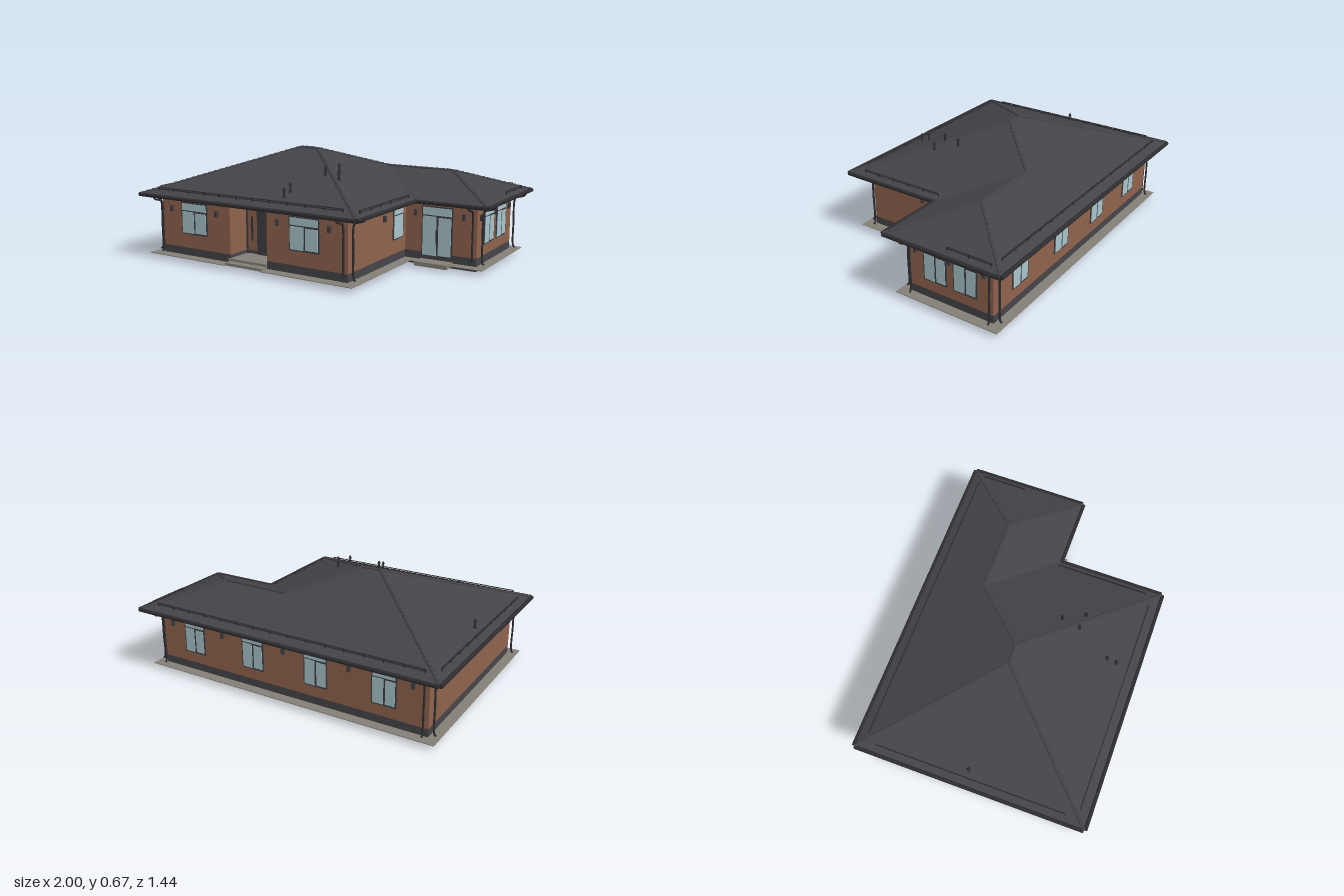
import * as THREE from 'three';

const mat = (name, color) => Object.assign(new THREE.MeshStandardMaterial({ color }), { name });
const M = {
  brick: mat('brick', 0x8f634c),
  plinth: mat('plinth charcoal', 0x454449),
  roof: mat('roof tiles', 0x444348),
  trim: mat('dark trim', 0x2e2d31),
  frame: mat('window frame', 0x3f3e43),
  glass: mat('glass', 0xa8c6cc),
  concrete: mat('concrete', 0x858076),
  floor: mat('floor underside', 0xc8bba3),
};

// Eave lines, eave height and roof pitch
const L = -0.98, R = 0.98, B = -0.705, F = 0.70, MX = 0.54, NZ = 0.035, EAVE = 0.40, PITCH = 0.367;
const H1 = (F - B) / 2, H2 = (NZ - B) / 2;

export function createModel() {
  const root = new THREE.Group();
  root.name = 'house';

  const add = (name, geo, m, parent = root) => {
    const mesh = new THREE.Mesh(geo, m);
    mesh.name = name;
    parent.add(mesh);
    return mesh;
  };
  const box = (name, x0, x1, y0, y1, z0, z1, m, parent) =>
    add(name, new THREE.BoxGeometry(x1 - x0, y1 - y0, z1 - z0), m, parent)
      .position.set((x0 + x1) / 2, (y0 + y1) / 2, (z0 + z1) / 2);
  // Flat slab from a plan outline of [x, z] points
  const slab = (name, pts, y0, y1, m) => {
    const shape = new THREE.Shape(pts.map(([x, z]) => new THREE.Vector2(x, -z)));
    const geo = new THREE.ExtrudeGeometry(shape, { depth: y1 - y0, bevelEnabled: false });
    add(name, geo.rotateX(-Math.PI / 2).translate(0, y0, 0), m);
  };
  // Round rod between two points
  const rod = (name, a, b, r0, r1, m, sides = 8) => {
    const d = b.clone().sub(a);
    const mesh = add(name, new THREE.CylinderGeometry(r1, r0, d.length(), sides), m);
    mesh.position.copy(a).add(b).multiplyScalar(0.5);
    mesh.quaternion.setFromUnitVectors(new THREE.Vector3(0, 1, 0), d.normalize());
  };
  const v = (x, y, z) => new THREE.Vector3(x, y, z);
  // Group on a wall: local +z points out of the wall, u is the world position along it
  const onWall = (name, side, u, d) => {
    const g = new THREE.Group();
    g.name = name;
    const [rot, x, z] = { front: [0, u, d], back: [Math.PI, u, -d], right: [Math.PI / 2, d, u], left: [-Math.PI / 2, -d, u] }[side];
    g.rotation.y = rot;
    g.position.set(x, 0, z);
    root.add(g);
    return g;
  };

  // Walls, plinth and ground slabs
  const base = [[-0.89, -0.605], [0.89, -0.605], [0.89, -0.06], [0.435, -0.06], [0.435, 0.605]];
  const plan = [...base, [-0.10, 0.605], [-0.10, 0.45], [-0.365, 0.45], [-0.365, 0.605], [-0.89, 0.605]];
  const apron = [[-0.95, -0.665], [0.95, -0.665], [0.95, 0], [0.5, 0], [0.5, 0.67],
    [-0.10, 0.67], [-0.10, 0.6], [-0.365, 0.6], [-0.365, 0.67], [-0.95, 0.67]];
  slab('walls', plan, 0.078, 0.386, M.brick);
  slab('plinth', plan, 0.03, 0.078, M.plinth);
  slab('apron', apron, 0.027, 0.031, M.concrete);
  slab('floor', [...base, [-0.89, 0.605]], 0.022, 0.027, M.floor);
  box('wingFoundation', 0.45, 0.889, 0, 0.06, -0.604, -0.061, M.plinth);
  box('porchStep', -0.365, -0.10, 0.027, 0.043, 0.45, 0.66, M.concrete);
  box('porch', -0.375, -0.10, 0.04, 0.058, 0.44, 0.615, M.concrete);
  box('terraceStep', 0.54, 0.745, 0.012, 0.037, -0.07, 0.03, M.concrete);

  // Hipped roof with an L-shaped plan
  const yr = EAVE + H1 * PITCH, yw = EAVE + H2 * PITCH, zr = (F + B) / 2, zw = (NZ + B) / 2;
  const a = v(L, EAVE, B), b = v(R, EAVE, B), c = v(R, EAVE, NZ), d = v(MX, EAVE, NZ), e = v(MX, EAVE, F), f = v(L, EAVE, F);
  const p = v(L + H1, yr, zr), q = v(MX - H1, yr, zr), r = v(MX - H2, yw, zw), t = v(R - H2, yw, zw);
  const tri = [];
  for (const face of [[a, f, p], [f, e, q, p], [e, d, r, q], [d, c, t, r], [c, b, t], [a, p, q, r, t, b]])
    for (let i = 1; i < face.length - 1; i++)
      for (const k of [face[0], face[i], face[i + 1]]) tri.push(k.x, k.y, k.z);
  const roofGeo = new THREE.BufferGeometry();
  roofGeo.setAttribute('position', new THREE.Float32BufferAttribute(tri, 3));
  roofGeo.computeVertexNormals();
  add('roof', roofGeo, M.roof);
  // Soffit with a darker fascia edge
  slab('eaves', [a, b, c, d, e, f].map(k => [k.x, k.z]), 0.384, 0.3995, [M.plinth, M.trim]);

  // Overlapping ridge and hip tiles
  for (const [s, k] of [[a, p], [f, p], [e, q], [c, t], [b, t], [r, q], [p, q], [r, t]]) {
    const n = Math.max(3, Math.round(s.distanceTo(k) / 0.036));
    for (let i = 0; i < n; i++)
      rod('ridgeTile', s.clone().lerp(k, i / n), s.clone().lerp(k, (i + 1) / n), 0.0105, 0.007, M.roof);
  }

  // Gutters
  const gut = (x0, z0, x1, z1) => rod('gutter', v(x0, 0.396, z0), v(x1, 0.396, z1), 0.012, 0.012, M.trim);
  const g = 0.007;
  gut(L, B - g, R, B - g);
  gut(L, F + g, MX, F + g);
  gut(L - g, B, L - g, F);
  gut(R + g, B, R + g, NZ);
  gut(MX + g, NZ, MX + g, F);
  gut(MX, NZ + g, R, NZ + g);

  // Snow guards: two rails on short posts
  const roofY = (x, z) => EAVE + PITCH * Math.max(
    Math.min(x - L, MX - x, z - B, F - z), Math.min(x - r.x + H2, R - x, z - B, NZ - z));
  for (const [x0, z0, x1, z1] of [[-0.88, -0.65, 0.88, -0.65], [-0.88, 0.645, 0.43, 0.645], [-0.937, -0.58, -0.937, 0.57],
    [0.945, -0.63, 0.945, -0.36], [0.505, 0.04, 0.505, 0.6]]) {
    const y = roofY((x0 + x1) / 2, (z0 + z1) / 2);
    for (const h of [0.009, 0.018]) rod('snowRail', v(x0, y + h, z0), v(x1, y + h, z1), 0.003, 0.003, M.trim, 6);
    const n = Math.round(Math.hypot(x1 - x0, z1 - z0) / 0.12);
    for (let i = 0; i <= n; i++) {
      const x = x0 + (x1 - x0) * i / n, z = z0 + (z1 - z0) * i / n;
      box('snowPost', x - 0.003, x + 0.003, y - 0.006, y + 0.02, z - 0.003, z + 0.003, M.trim);
    }
  }

  // Roof vents with caps
  for (const [x, z, h] of [[0.12, 0.185, 0.045], [0.1, 0.3, 0.05], [0.195, 0.31, 0.045], [0, 0.51, 0.048], [0, 0.57, 0.048], [-0.89, -0.025, 0.048]]) {
    const y = roofY(x, z);
    rod('ventBase', v(x, y - 0.008, z), v(x, y + 0.015, z), 0.011, 0.007, M.trim);
    rod('ventPipe', v(x, y, z), v(x, y + h, z), 0.006, 0.006, M.trim);
    rod('ventCap', v(x, y + h - 0.014, z), v(x, y + h + 0.004, z), 0.011, 0.005, M.trim);
  }

  // Windows: backing plate, top light, one fixed pane and one framed leaf
  const windowAt = (side, u, wall, w, y0, y1, leaves = 2, top = 0.052) => {
    const o = onWall('window', side, u, wall), h = w / 2, m = 0.007, split = y1 - top;
    box('windowFrame', -h, h, y0, y1, -0.002, 0.006, M.frame, o);
    box('topPane', -h + m, h - m, split + 0.003, y1 - m, 0.004, 0.008, M.glass, o);
    for (let i = 0; i < leaves; i++) {
      const x0 = -h + (w * i) / leaves, x1 = x0 + w / leaves, k = i ? 0.009 : 0;
      box('lowerPane', x0 + (i ? k : m), x1 - m * (i || leaves === 1 ? 1.2 : 0.4), y0 + m + k * 0.4, split - 0.004 - k * 0.5, 0.004, 0.008, M.glass, o);
    }
    return o;
  };
  for (const x of [-0.635, 0.158]) windowAt('front', x, 0.605, 0.2, 0.163, 0.358);
  for (const x of [0.648, 0.22, -0.205, -0.63]) windowAt('back', x, 0.605, 0.15, 0.145, 0.358);
  for (const z of [-0.235, -0.43]) windowAt('right', z, 0.89, 0.152, 0.142, 0.36);
  windowAt('right', 0.042, 0.435, 0.122, 0.163, 0.36, 1);

  // Terrace doors
  const terrace = windowAt('front', 0.643, -0.06, 0.197, 0.055, 0.358, 2, 0.056);
  terrace.name = 'terraceDoor';
  box('doorHandle', -0.004, 0.004, 0.14, 0.22, 0.006, 0.014, M.trim, terrace);

  // Entrance door in the recess, with a corner strip and a long lamp
  const door = onWall('entranceDoor', 'front', -0.19, 0.45);
  box('doorPanel', -0.094, 0.09, 0.058, 0.384, -0.002, 0.007, M.frame, door);
  box('doorGlass', -0.007, 0.005, 0.1, 0.275, 0.005, 0.011, M.glass, door);
  box('cornerStrip', -0.175, -0.164, 0.058, 0.384, -0.002, 0.006, M.frame, door);
  box('porchLamp', -0.133, -0.127, 0.14, 0.285, 0, 0.012, M.trim, door);

  // Wall lamps
  const lamps = [['front', 0.605, [-0.81, -0.46, -0.02, 0.325]], ['front', -0.06, [0.505, 0.81]],
    ['right', 0.435, [0.215]], ['right', 0.89, [-0.108, -0.333, -0.553]],
    ['back', 0.605, [0.81, 0.434, 0.005, -0.42, -0.8]], ['left', 0.89, [-0.4, 0, 0.4]]];
  for (const [side, wall, us] of lamps) for (const u of us)
    box('lampBody', -0.009, 0.009, 0.293, 0.329, 0, 0.016, M.frame, onWall('wallLamp', side, u, wall));

  // Downpipes bending from the gutter back to the wall
  const pipePath = new THREE.CatmullRomCurve3([[0.388, 0.098], [0.374, 0.088], [0.365, 0.058], [0.355, 0.034], [0.33, 0.026],
    [0.2, 0.026], [0.075, 0.026], [0.05, 0.031], [0.042, 0.04]].map(([y, z]) => v(0, y, z)), false, 'centripetal');
  const pipeGeo = new THREE.TubeGeometry(pipePath, 36, 0.006, 8);
  const pipes = [['front', 0.605, [-0.87, 0.422]], ['front', -0.06, [0.873]], ['back', 0.605, [-0.87, 0.873]],
    ['left', 0.89, [-0.592, 0.592]], ['right', 0.435, [0.592]], ['right', 0.89, [-0.08, -0.595]]];
  for (const [side, wall, us] of pipes) for (const u of us)
    add('pipe', pipeGeo, M.trim, onWall('downpipe', side, u, wall));

  return root;
}
